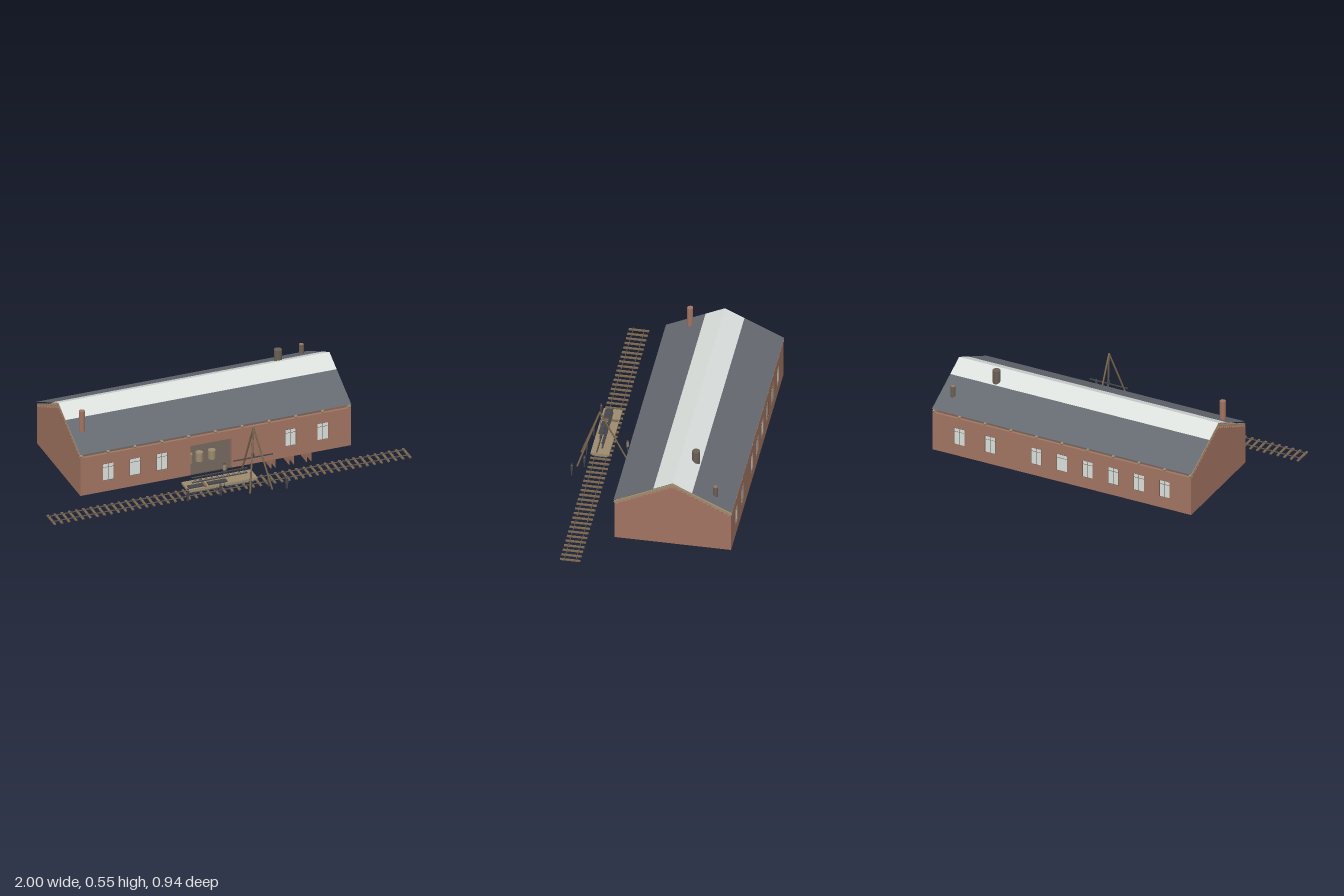
import * as THREE from 'three';

const mat = (name, color, extra = {}) => {
  const m = new THREE.MeshStandardMaterial({ color, ...extra });
  m.name = name;
  return m;
};

export function createModel() {
  const brick = mat('brick', 0xa07361);
  const slate = mat('slate', 0x656970, { side: THREE.DoubleSide });
  const glass = mat('glass', 0xdadfdc, { side: THREE.DoubleSide });
  const wood = mat('wood', 0x9c8a6e);
  const darkWood = mat('darkWood', 0x79664f);
  const iron = mat('iron', 0x46454a);
  const steel = mat('steel', 0x565f6b);
  const earth = mat('earth', 0x665a52);
  const flue = mat('flue', 0x6a6055);

  const model = new THREE.Group();
  const add = (parent, name, geo, m, x = 0, y = 0, z = 0) => {
    const mesh = new THREE.Mesh(geo, m);
    mesh.name = name;
    mesh.position.set(x, y, z);
    parent.add(mesh);
    return mesh;
  };
  const box = (p, name, m, w, h, d, x, y, z) => add(p, name, new THREE.BoxGeometry(w, h, d), m, x, y, z);
  const cyl = (p, name, m, r, h, x, y, z, sides = 12) =>
    add(p, name, new THREE.CylinderGeometry(r, r, h, sides), m, x, y, z);
  // Round bar between two points
  const bar = (p, name, m, r, a, b) => {
    const va = new THREE.Vector3(...a), vb = new THREE.Vector3(...b);
    const dir = vb.clone().sub(va);
    const mid = va.clone().add(vb).multiplyScalar(0.5);
    const mesh = cyl(p, name, m, r, dir.length(), mid.x, mid.y, mid.z, 6);
    mesh.quaternion.setFromUnitVectors(new THREE.Vector3(0, 1, 0), dir.normalize());
    return mesh;
  };
  const group = (name, x = 0, y = 0, z = 0) => {
    const g = new THREE.Group();
    g.name = name;
    g.position.set(x, y, z);
    model.add(g);
    return g;
  };

  const G = 0.127, midZ = -0.158, halfX = 0.757, halfZ = 0.309, eave = 0.348, T = 0.015;

  // Hall walls: long sides with openings
  const hall = group('hall');
  const longWall = (name, windows, door, z, out) => {
    const s = new THREE.Shape();
    s.moveTo(-halfX, G);
    if (door) {
      s.lineTo(door[0], G); s.lineTo(door[0], 0.3);
      s.lineTo(door[1], 0.3); s.lineTo(door[1], G);
    }
    s.lineTo(halfX, G); s.lineTo(halfX, eave); s.lineTo(-halfX, eave);
    for (const x of windows) {
      const h = new THREE.Path();
      h.moveTo(x - 0.031, 0.19); h.lineTo(x - 0.031, 0.29);
      h.lineTo(x + 0.031, 0.29); h.lineTo(x + 0.031, 0.19);
      s.holes.push(h);
    }
    add(hall, name, new THREE.ExtrudeGeometry(s, { depth: T, bevelEnabled: false }), brick, 0, 0, z);
    // Window panes and glazing bars
    const zc = z + T / 2 + out * 0.003;
    for (const x of windows) {
      box(hall, 'windowPane', glass, 0.062, 0.1, 0.003, x, 0.24, zc);
      for (const dx of [-0.0295, 0, 0.0295]) box(hall, 'windowBar', flue, 0.002, 0.1, 0.005, x + dx, 0.24, zc);
      for (const y of [0.1915, 0.268, 0.2885]) box(hall, 'windowRail', flue, 0.062, 0.002, 0.005, x, y, zc);
    }
  };
  longWall('frontWall', [-0.6, -0.45, -0.3, 0.42, 0.6], [-0.14, 0.09], midZ + halfZ - T, 1);
  longWall('backWall', [-0.6, -0.45, -0.3, -0.15, 0, 0.15, 0.42, 0.6], null, midZ - halfZ, -1);

  // Gable walls with stepped brick tops
  const gable = new THREE.Shape();
  const steps = 14, sw = halfZ / steps, slope = 0.487;
  gable.moveTo(-halfZ, G);
  gable.lineTo(halfZ, G);
  for (let i = steps - 1; i >= 0; i--) {
    const y = 0.5 - slope * (i + 1) * sw;
    gable.lineTo((i + 1) * sw, y); gable.lineTo(i * sw, y);
  }
  for (let i = 0; i < steps; i++) {
    const y = 0.5 - slope * (i + 1) * sw;
    gable.lineTo(-i * sw, y); gable.lineTo(-(i + 1) * sw, y);
  }
  const gableGeo = new THREE.ExtrudeGeometry(gable, { depth: T, bevelEnabled: false });
  gableGeo.rotateY(Math.PI / 2);
  add(hall, 'rightGable', gableGeo, brick, halfX - T, 0, midZ);
  add(hall, 'leftGable', gableGeo, brick, -halfX, 0, midZ);
  box(hall, 'floor', earth, 1.5, 0.006, 0.605, 0, 0.126, midZ);

  // Roof: rafters carrying thin sheets, skylight band beside the ridge and slates below
  const roof = group('roof', 0, 0.511, midZ);
  const ang = Math.atan(slope), run = 0.313;
  const L0 = 0.103 / Math.cos(ang), L1 = run / Math.cos(ang);
  const sheet = (name, m, from, to, s) => {
    const plane = new THREE.PlaneGeometry(1.516, to - from).rotateX(-Math.PI / 2);
    const mesh = add(roof, name, plane, m);
    const mid = (from + to) / 2;
    mesh.position.set(0, 0.012 - mid * Math.sin(ang), s * mid * Math.cos(ang));
    mesh.rotation.x = s * ang;
  };
  for (const s of [1, -1]) {
    sheet('skylight', glass, 0, L0, s);
    sheet('slates', slate, L0, L1, s);
    const frame = new THREE.Group();
    frame.name = 'rafters';
    frame.rotation.x = s * ang;
    roof.add(frame);
    for (let i = -5; i <= 5; i++) box(frame, 'rafter', wood, 0.012, 0.01, L1, i * 0.15, -0.005, s * L1 / 2);
  }

  // Chimneys
  const chimney = (name, m, r, y0, y1, x, z) =>
    cyl(roof, name, m, r, y1 - y0, x, (y0 + y1) / 2 - 0.511, z - midZ);
  chimney('brickChimney', brick, 0.016, 0.38, 0.551, -0.695, 0.015);
  chimney('wideChimney', flue, 0.021, 0.42, 0.551, 0.5, -0.235);
  chimney('smallChimney', flue, 0.013, 0.36, 0.475, 0.685, -0.372);
  chimney('smallChimneyCap', brick, 0.011, 0.475, 0.477, 0.685, -0.372);

  // Pits below the floor: paired plates with a shaft between
  [[0.374, 0.1], [0.477, 0.08], [0.573, 0.055]].forEach(([x, y]) => {
    const pit = group('pit', x, 0, -0.041);
    for (const s of [-1, 1]) box(pit, 'pitWall', brick, 0.003, 0.125, 0.12, s * 0.0125, 0.0625, 0);
    box(pit, 'pitShaft', flue, 0.014, 0.125 - y, 0.025, 0, (0.125 + y) / 2, 0);
  });

  // Barrels inside the doorway
  for (const x of [-0.1, -0.04, 0.03]) cyl(hall, 'barrel', wood, 0.02, 0.05, x, G + 0.027, 0.02);

  // Railway track
  const track = group('track', 0, 0, 0.341);
  for (let i = 0; i <= 50; i++) box(track, 'sleeper', darkWood, 0.012, 0.006, 0.108, -0.994 + i * 0.03976, 0.129, 0);
  for (const s of [-1, 1]) box(track, 'rail', earth, 2, 0.005, 0.003, 0, 0.1345, s * 0.03);

  // Flat wagons
  for (const [x, w] of [[-0.147, 0.2], [0.05, 0.182]]) {
    const wagon = group('wagon', x, 0, 0.341);
    box(wagon, 'deck', wood, w, 0.012, 0.098, 0, 0.173, 0);
    box(wagon, 'underframe', wood, w * 0.95, 0.007, 0.08, 0, 0.163, 0);
    box(wagon, 'chassis', steel, w * 0.85, 0.012, 0.06, 0, 0.1535, 0);
    for (const dx of [-0.32, 0.32])
      for (const s of [-1, 1]) {
        const wheel = cyl(wagon, 'wheel', iron, 0.01, 0.005, dx * w, 0.147, s * 0.03);
        wheel.rotation.x = Math.PI / 2;
      }
  }
  const load = group('load');
  for (const [x, w] of [[-0.195, 0.085], [-0.075, 0.105]]) box(load, 'crate', iron, w, 0.008, 0.03, x, 0.182, 0.363);
  box(load, 'crossBeam', darkWood, 0.012, 0.007, 0.09, -0.147, 0.182, 0.341);

  // Lattice girder lying on the wagons
  const girder = group('girder', 0, 0, 0.335);
  for (const y of [0.188, 0.218]) box(girder, 'chord', iron, 0.31, 0.003, 0.008, -0.05, y, 0);
  for (let i = 0; i < 10; i++) {
    const x = -0.205 + i * 0.031;
    bar(girder, 'brace', iron, 0.0013, [x, 0.188, 0.002], [x + 0.031, 0.218, 0.002]);
    bar(girder, 'brace', iron, 0.0013, [x, 0.218, -0.002], [x + 0.031, 0.188, -0.002]);
  }

  // Tripod hoist with hook block and lifted beam
  const hoist = group('hoist');
  const apex = [0.137, 0.45, 0.341];
  for (const [x, z] of [[0.137, 0.18], [0.075, 0.45], [0.2, 0.45]]) bar(hoist, 'hoistLeg', darkWood, 0.0048, apex, [x, G, z]);
  bar(hoist, 'chain', steel, 0.001, [0.137, 0.445, 0.337], [0.137, 0.29, 0.337]);
  box(hoist, 'pulley', iron, 0.012, 0.02, 0.01, 0.137, 0.285, 0.337);
  box(hoist, 'liftedBeam', iron, 0.222, 0.005, 0.006, 0.137, 0.272, 0.337);

  // Workers
  const people = [[-0.255, 0.405], [-0.075, 0.412], [0.09, 0.42], [0.195, 0.412], [0.275, 0.465], [0.025, 0.215]];
  people.forEach(([x, z], i) => {
    const worker = group('worker', x, G, z);
    const coat = i === 5 ? wood : iron;
    for (const s of [-1, 1]) {
      cyl(worker, 'leg', iron, 0.003, 0.032, s * 0.0035, 0.016, 0, 6);
      bar(worker, 'arm', coat, 0.002, [s * 0.006, 0.054, 0], [s * 0.009, 0.03, 0.002]);
    }
    cyl(worker, 'torso', coat, 0.0065, 0.028, 0, 0.044, 0, 8);
    add(worker, 'head', new THREE.SphereGeometry(0.005, 8, 6), brick, 0, 0.063, 0);
    cyl(worker, 'cap', iron, 0.005, 0.004, 0, 0.068, 0, 8);
  });

  return model;
}
